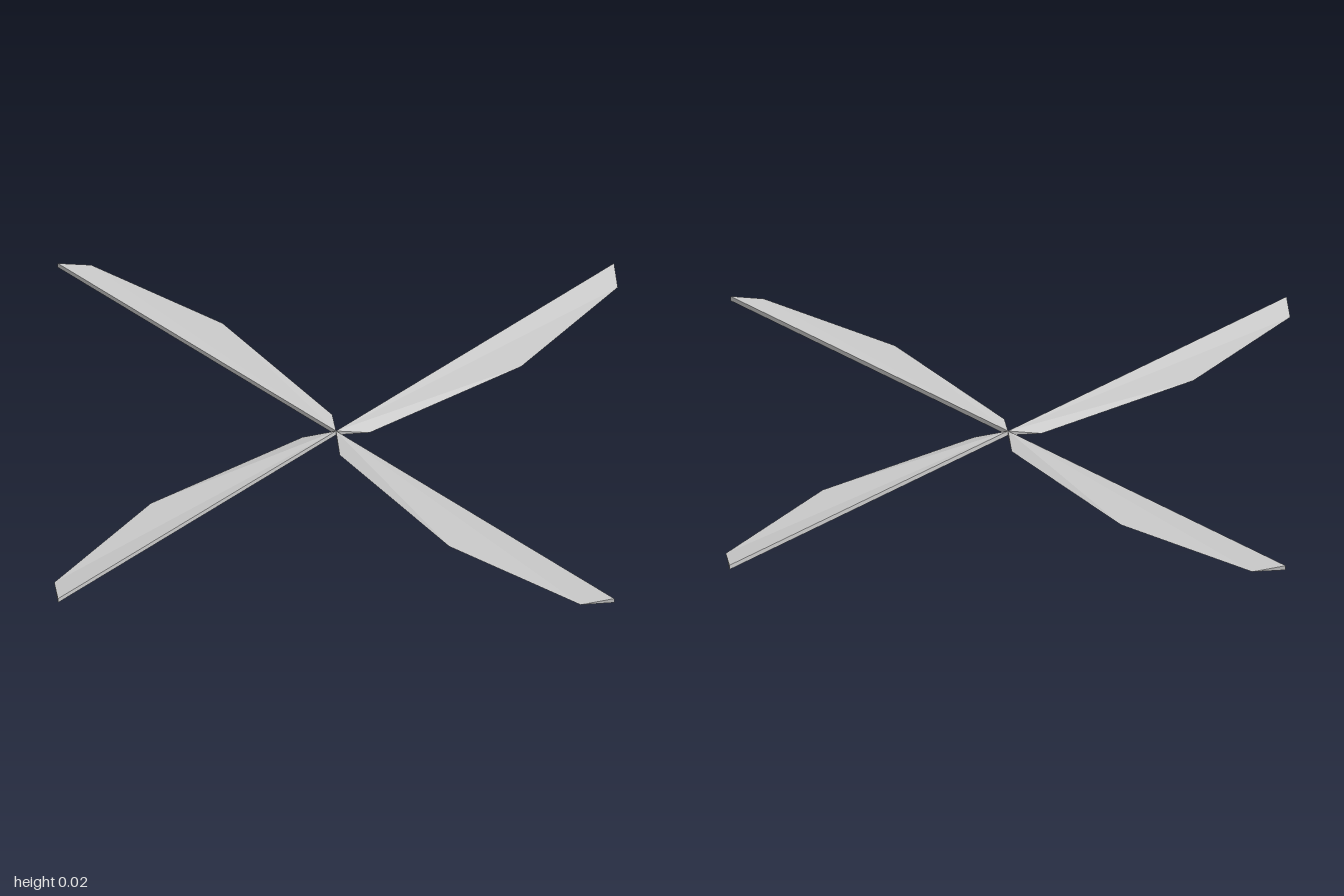
import * as THREE from 'three';

const H = 0.016; // height of the thick straight edge

// One wedge blade: thick along the straight edge, tapering to a knife edge
function bladeGeometry() {
  const outline = [[0, 0], [0, 0.11], [0.3, 0.64], [0.69, 1], [0.8, 1]];
  const points = outline.map(([x, z]) => [x, 0, z]);
  points.push([0, H, 0], [0.8, H, 1]);
  const faces = [
    5, 1, 2, 5, 2, 3, 5, 3, 6, // sloping top
    0, 2, 1, 0, 3, 2, 0, 4, 3, // flat underside
    0, 5, 6, 0, 6, 4,          // straight edge wall
    3, 4, 6, 0, 1, 5,          // tip and root ends
  ];
  const geometry = new THREE.BufferGeometry();
  geometry.setAttribute('position', new THREE.Float32BufferAttribute(faces.flatMap((i) => points[i]), 3));
  geometry.computeVertexNormals();
  return geometry;
}

export function createModel() {
  const model = new THREE.Group();
  model.name = 'rotor';
  const geometry = bladeGeometry();
  const material = new THREE.MeshStandardMaterial({ color: 0xcccccc, flatShading: true });

  // Four blades around the centre
  for (let i = 0; i < 4; i++) {
    const blade = new THREE.Mesh(geometry, material);
    blade.name = `blade${i + 1}`;
    blade.rotation.y = (i * Math.PI) / 2;
    model.add(blade);
  }
  return model;
}
